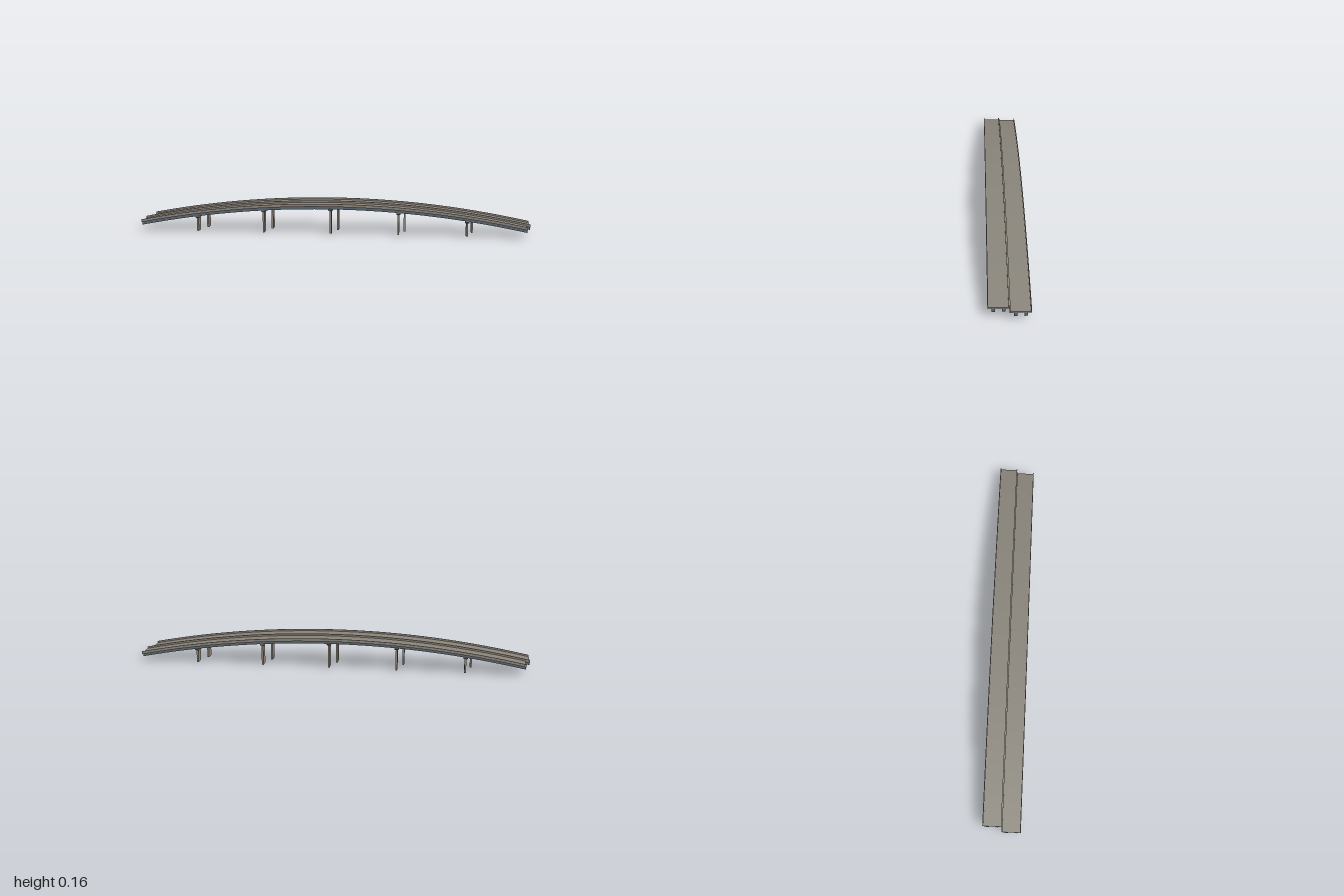
import * as THREE from 'three';

const SKEW = -0.1415;      // heading of the bridge in plan
const HALF_LENGTH = 0.985;
const WIDTH = 0.093;       // width of one carriageway
const STAGGER = 0.012;     // lengthwise offset of each carriageway

// Height of the parapet top along the bridge
const crest = (u) => 0.159 - 0.103 * (u + 0.015) ** 2;

// Arched beam: spans v0..v1 across, y0..y1 relative to the crest
function archedBeam(name, material, shift, v0, v1, y0, y1) {
  const geo = new THREE.BoxGeometry(2 * HALF_LENGTH, y1 - y0, v1 - v0, 48, 1, 1);
  geo.translate(shift, (y0 + y1) / 2, (v0 + v1) / 2);
  const p = geo.attributes.position;
  for (let i = 0; i < p.count; i++) p.setY(i, p.getY(i) + crest(p.getX(i)));
  geo.computeVertexNormals();
  const mesh = new THREE.Mesh(geo, material);
  mesh.name = name;
  return mesh;
}

// Wall column with a tapered hammerhead cap
function pier(material, u, v) {
  const top = crest(u) - 0.03;
  const group = new THREE.Group();
  group.name = 'pier';
  const column = new THREE.Mesh(new THREE.BoxGeometry(0.009, top - 0.004, 0.045), material);
  column.name = 'pierColumn';
  column.position.y = (top - 0.004) / 2;

  const shape = new THREE.Shape();
  shape.moveTo(-0.034, 0);
  shape.lineTo(-0.034, -0.005);
  shape.lineTo(-0.0225, -0.011);
  shape.lineTo(0.0225, -0.011);
  shape.lineTo(0.034, -0.005);
  shape.lineTo(0.034, 0);
  const capGeo = new THREE.ExtrudeGeometry(shape, { depth: 0.02, bevelEnabled: false });
  capGeo.translate(0, 0, -0.01);
  capGeo.rotateY(Math.PI / 2);
  const cap = new THREE.Mesh(capGeo, material);
  cap.name = 'pierCap';
  cap.position.y = top;

  group.add(column, cap);
  group.position.set(u, 0, v);
  return group;
}

export function createModel() {
  const asphalt = new THREE.MeshStandardMaterial({ color: 0x88847a });
  asphalt.name = 'roadGrey';
  const concrete = new THREE.MeshStandardMaterial({ color: 0x8f867c });
  concrete.name = 'concreteGrey';
  const steel = new THREE.MeshStandardMaterial({ color: 0x5a6873 });
  steel.name = 'girderBlueGrey';

  const bridge = new THREE.Group();
  bridge.name = 'bridge';

  // Two staggered carriageways side by side
  for (const side of [-1, 1]) {
    const shift = -side * STAGGER;
    const mid = side * WIDTH / 2;
    const half = WIDTH / 2;
    const rail = 0.004;
    const carriageway = new THREE.Group();
    carriageway.name = side < 0 ? 'backCarriageway' : 'frontCarriageway';

    carriageway.add(archedBeam('deck', asphalt, shift, mid - half + rail, mid + half - rail, -0.0145, -0.009));

    for (const edge of [-1, 1]) {
      // Parapets along both edges
      const outer = mid + edge * half;
      const inner = outer - edge * rail;
      carriageway.add(archedBeam('parapet', concrete, shift,
        Math.min(outer, inner), Math.max(outer, inner), -0.0145, 0));
      // Girders under the deck
      const g = mid + edge * 0.022;
      carriageway.add(archedBeam('girder', steel, shift, g - 0.007, g + 0.007, -0.031, -0.0145));
    }

    // Five piers per carriageway
    for (let i = -2; i <= 2; i++) {
      carriageway.add(pier(concrete, i * 0.345 - side * 0.015, mid));
    }
    bridge.add(carriageway);
  }

  bridge.rotation.y = SKEW;
  const model = new THREE.Group();
  model.name = 'archedRoadBridge';
  model.add(bridge);
  return model;
}
